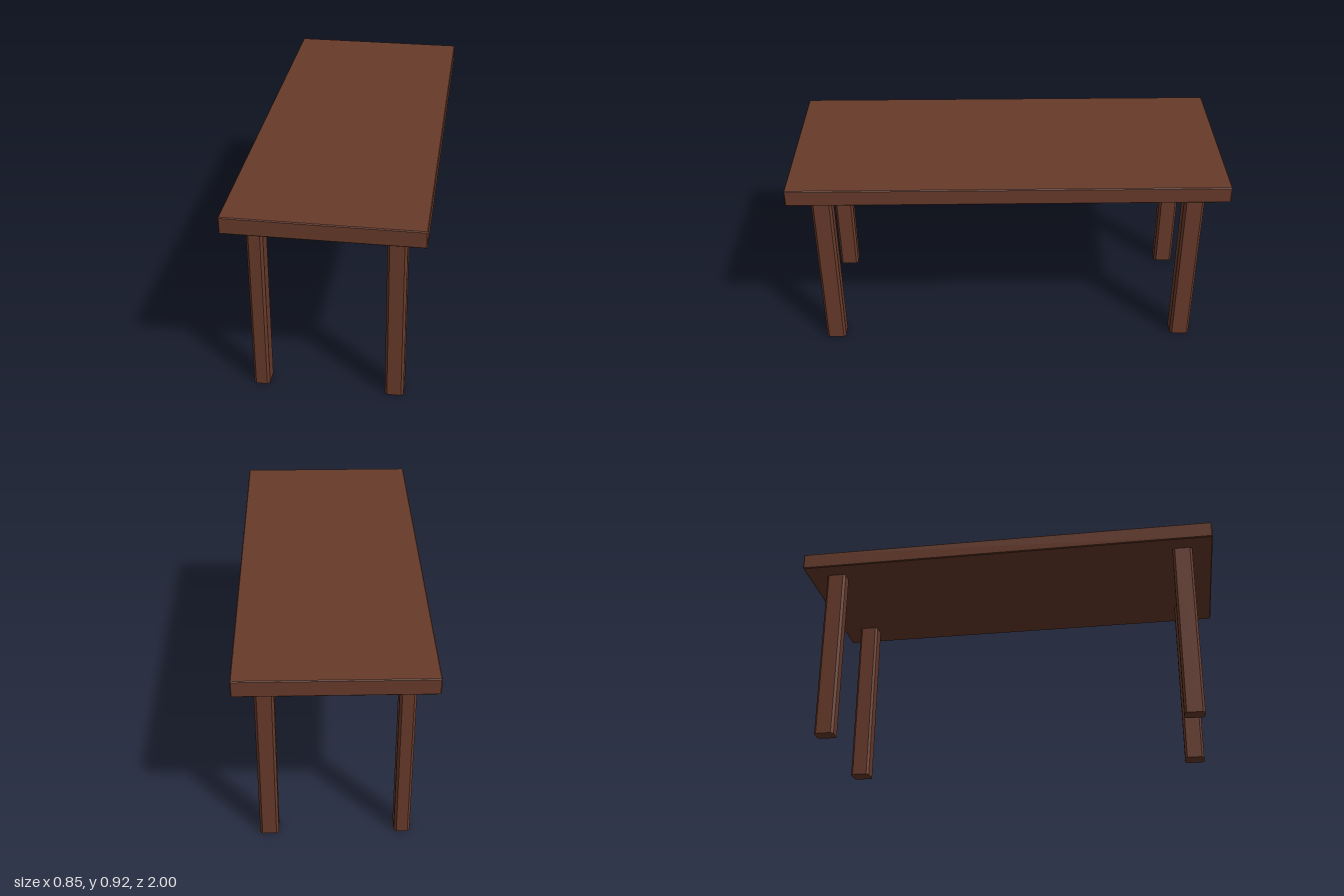
import * as THREE from 'three';

const wood = new THREE.MeshStandardMaterial({ color: 0x673a2a, flatShading: true });

// Rectangle outline with its corners cut at 45 degrees
function chamferedRect(w, d, c) {
  const x = w / 2, z = d / 2;
  return new THREE.Shape([
    [x - c, -z], [x, -z + c], [x, z - c], [x - c, z],
    [-x + c, z], [-x, z - c], [-x, -z + c], [-x + c, -z],
  ].map(([a, b]) => new THREE.Vector2(a, b)));
}

// Upright block standing on y = 0; bevel cuts its top and bottom edges
function block(name, w, h, d, chamfer, bevel) {
  const geometry = new THREE.ExtrudeGeometry(
    chamferedRect(w - 2 * bevel, d - 2 * bevel, chamfer),
    {
      depth: h - 2 * bevel, bevelEnabled: bevel > 0,
      bevelSize: bevel, bevelThickness: bevel, bevelSegments: 1,
    }
  );
  geometry.translate(0, 0, bevel).rotateX(-Math.PI / 2);
  const mesh = new THREE.Mesh(geometry, wood);
  mesh.name = name;
  return mesh;
}

export function createModel() {
  const table = new THREE.Group();
  table.name = 'table';

  // Tabletop slab with lightly broken edges
  const top = block('tabletop', 0.854, 0.078, 2, 0.002, 0.004);
  top.position.y = 0.845;
  table.add(top);

  // Legs: the left pair is slightly wider than the right pair
  const sides = [
    { name: 'Left', x: 0.2975, width: 0.085 },
    { name: 'Right', x: -0.304, width: 0.072 },
  ];
  for (const { name, x, width } of sides) {
    for (const [end, z] of [['front', 0.857], ['back', -0.857]]) {
      const leg = block(`${end}${name}Leg`, width, 0.846, 0.094, 0.011, 0);
      leg.position.set(x, 0, z);
      table.add(leg);
    }
  }
  return table;
}
